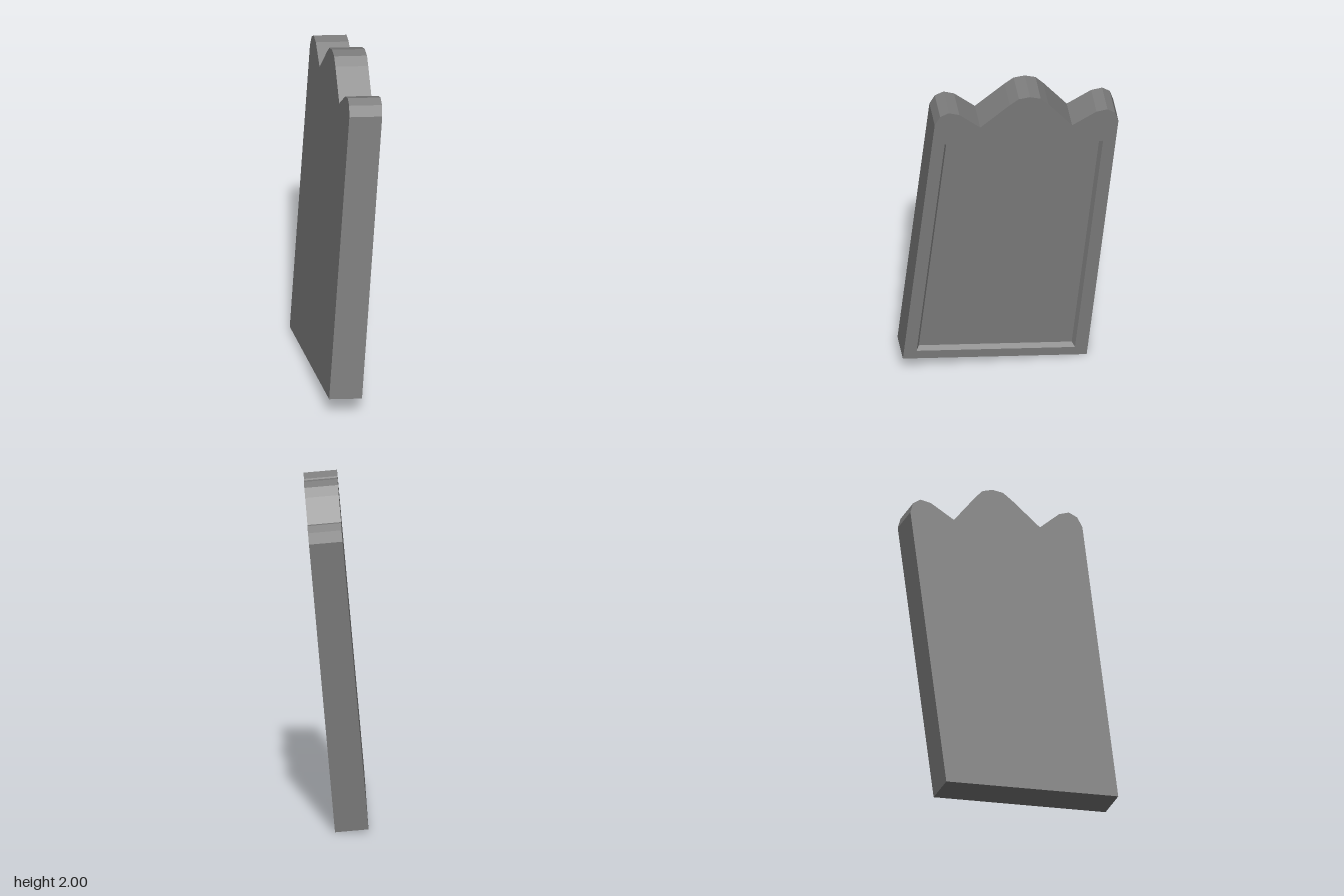
import * as THREE from 'three';

const HALF_WIDTH = 0.536, THICKNESS = 0.193;
const RECESS = 0.03, INSET = 0.016; // panel depth and slope of its border

// Right half of the crest, from the outer shoulder to the middle peak
const CREST = [
  [0.536, 1.753], [0.511, 1.814], [0.463, 1.841], [0.4, 1.825], [0.268, 1.727],
  [0.113, 1.889], [0.064, 1.933], [0, 1.947],
];

// Corners of the panel opening, shrunk by a margin, counterclockwise
const panelCorners = (m) => [
  [-0.462 + m, 0.056 + m], [0.462 - m, 0.056 + m],
  [0.462 - m, 1.605 - m], [-0.462 + m, 1.605 - m],
];

const toPoints = (list) => list.map(([x, y]) => new THREE.Vector2(x, y));

function outline() {
  const mirrored = CREST.slice(0, -1).reverse().map(([x, y]) => [-x, y]);
  return new THREE.Shape(toPoints([
    [-HALF_WIDTH, 0], [HALF_WIDTH, 0], ...CREST, ...mirrored,
  ]));
}

// Four sloping strips leading from the front face down to the panel
function bevelGeometry() {
  const outer = panelCorners(0), inner = panelCorners(INSET);
  const positions = [];
  for (let i = 0; i < 4; i++) {
    const j = (i + 1) % 4;
    const a = [...outer[i], 0], b = [...outer[j], 0];
    const c = [...inner[j], -RECESS], d = [...inner[i], -RECESS];
    positions.push(...a, ...b, ...c, ...a, ...c, ...d);
  }
  const geometry = new THREE.BufferGeometry();
  geometry.setAttribute('position', new THREE.Float32BufferAttribute(positions, 3));
  geometry.computeVertexNormals();
  return geometry;
}

export function createModel() {
  // Dark grey stone
  const material = new THREE.MeshStandardMaterial({ color: 0x7d7d7d, flatShading: true });
  const stone = new THREE.Group();
  stone.name = 'headstone';

  const add = (name, geometry) => {
    const mesh = new THREE.Mesh(geometry, material);
    mesh.name = name;
    stone.add(mesh);
    return mesh;
  };

  // Main slab, whose front is the floor of the recessed panel
  add('slab', new THREE.ExtrudeGeometry(outline(), {
    depth: THICKNESS - RECESS, bevelEnabled: false,
  })).position.z = -THICKNESS;

  // Raised front border around the panel
  const border = outline();
  border.holes.push(new THREE.Path(toPoints(panelCorners(0)).reverse()));
  add('frontBorder', new THREE.ExtrudeGeometry(border, {
    depth: RECESS, bevelEnabled: false,
  })).position.z = -RECESS;

  add('panelBevel', bevelGeometry());

  // Lean the stone: its carved face looks towards +x, sunk to one side
  const up = new THREE.Vector3(0.101, 0.992, -0.075).normalize();
  const side = new THREE.Vector3(0.164, -0.0913, -0.982).normalize();
  const face = new THREE.Vector3().crossVectors(side, up).normalize();
  side.crossVectors(up, face);
  stone.quaternion.setFromRotationMatrix(new THREE.Matrix4().makeBasis(side, up, face));
  stone.position.set(0.005, 0.05, 0.083);

  const model = new THREE.Group();
  model.name = 'leaningHeadstone';
  model.add(stone);
  return model;
}
